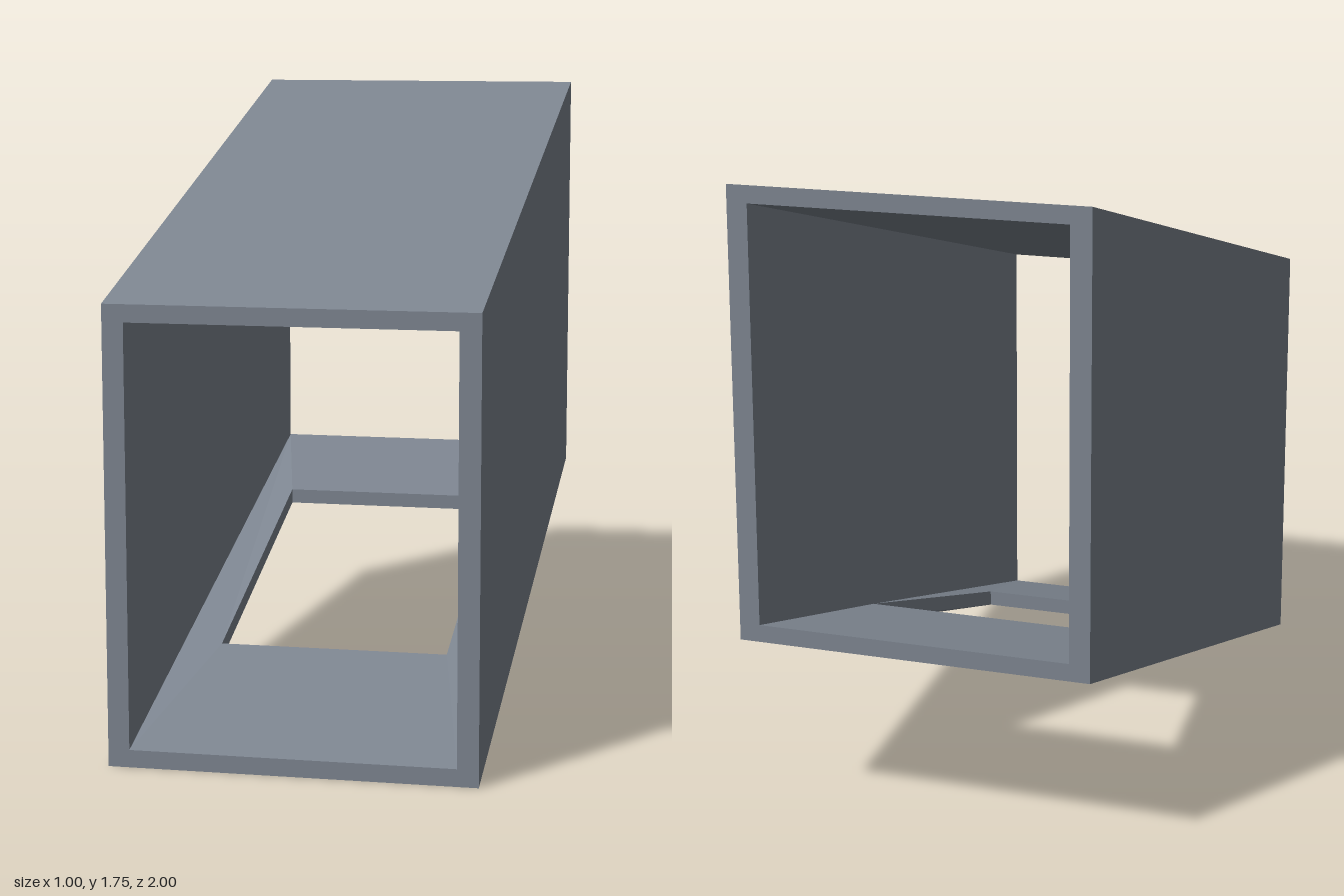
import * as THREE from 'three';

const HEIGHT = 1.247, SLOPE = 0.2515; // the duct rises towards the back

// Rectangular cross-section at depth z, counter-clockwise from the front
function section(z, halfWidth, inset) {
  const low = SLOPE * (1 - z) + inset;
  const high = SLOPE * (1 - z) + HEIGHT - inset;
  return [[-halfWidth, low, z], [halfWidth, low, z], [halfWidth, high, z], [-halfWidth, high, z]];
}

// Four-cornered loop lying in the floor, counter-clockwise from above
function floorLoop(halfWidth, zFront, yFront, zBack, yBack) {
  return [
    [-halfWidth, yFront, zFront], [halfWidth, yFront, zFront],
    [halfWidth, yBack, zBack], [-halfWidth, yBack, zBack],
  ];
}

// Flat quads joining chosen sides of two four-cornered loops
function band(a, b, sides = [0, 1, 2, 3]) {
  const out = [];
  for (const i of sides) {
    const j = (i + 1) % 4;
    out.push(...a[i], ...a[j], ...b[j], ...a[i], ...b[j], ...b[i]);
  }
  return out;
}

export function createModel() {
  const group = new THREE.Group();
  const grey = new THREE.MeshStandardMaterial({ color: 0x7d8590 });
  grey.name = 'slate grey';

  const add = (name, ...bands) => {
    const geometry = new THREE.BufferGeometry();
    geometry.setAttribute('position', new THREE.Float32BufferAttribute(bands.flat(), 3));
    geometry.computeVertexNormals();
    const mesh = new THREE.Mesh(geometry, grey);
    mesh.name = name;
    group.add(mesh);
  };

  const outerFront = section(1, 0.5, 0), outerBack = section(-1, 0.5, 0);
  const innerFront = section(1, 0.442, 0.048), innerBack = section(-1, 0.442, 0.048);

  // Side walls and roof, each with an outer and an inner skin
  const sides = { leftWall: 1, roof: 2, rightWall: 3 };
  for (const [name, side] of Object.entries(sides)) {
    add(name, band(outerBack, outerFront, [side]), band(innerFront, innerBack, [side]));
  }

  // Rims around the open ends
  add('frontRim', band(outerFront, innerFront));
  add('backRim', band(innerBack, outerBack));

  // Floor with a slightly raised rectangular opening
  const rise = 2 * SLOPE;
  const floorTop = floorLoop(0.442, 1, 0.048, -1, rise + 0.048);
  const floorBottom = floorLoop(0.5, 1, 0, -1, rise);
  const holeTop = floorLoop(0.326, 0.44, 0.2, -0.5, 0.463);
  const holeBottom = floorLoop(0.326, 0.44, 0.155, -0.5, 0.42);
  add('floorTop', band(floorTop, holeTop));
  add('floorOpening', band(holeTop, holeBottom));
  add('floorUnderside', band(holeBottom, floorBottom));

  return group;
}
